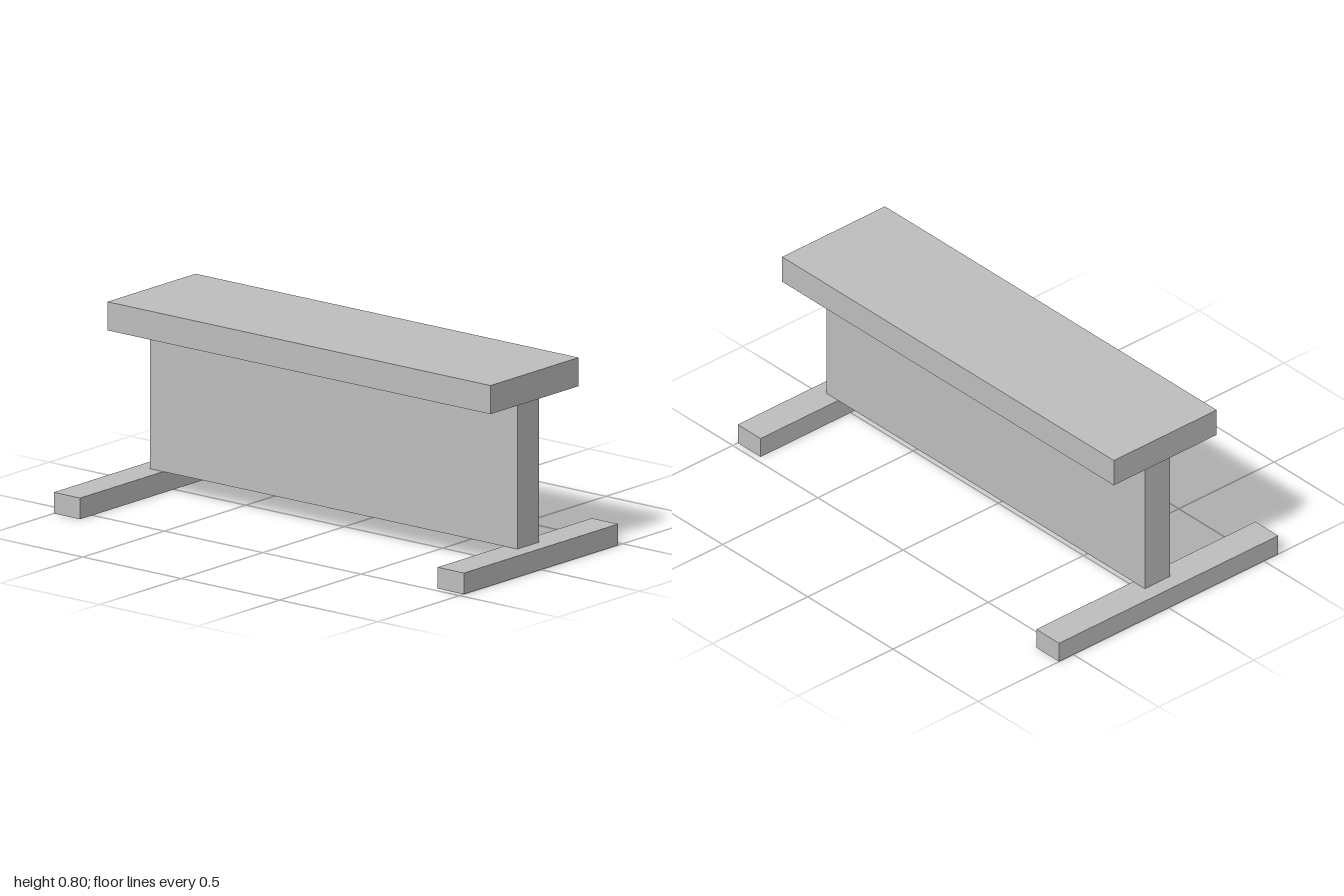
import * as THREE from 'three';

export function createModel() {
  const group = new THREE.Group();
  const grey = new THREE.MeshStandardMaterial({ color: 0xbfbfbf });
  grey.name = 'grey';

  // Box given by its half width and its y and z ranges
  function addBox(name, halfWidth, [y0, y1], [z0, z1]) {
    const mesh = new THREE.Mesh(new THREE.BoxGeometry(halfWidth * 2, y1 - y0, z1 - z0), grey);
    mesh.name = name;
    mesh.position.set(0, (y0 + y1) / 2, (z0 + z1) / 2);
    group.add(mesh);
  }

  // Thick top slab
  addBox('top', 0.27, [0.682, 0.798], [-0.98, 0.967]);
  // Upright panel carrying the slab
  addBox('uprightPanel', 0.066, [0.086, 0.682], [-0.934, 0.934]);
  // Cross feet, the back one longer
  addBox('frontFoot', 0.473, [0, 0.086], [0.866, 1]);
  addBox('backFoot', 0.575, [0, 0.086], [-1, -0.866]);

  return group;
}
